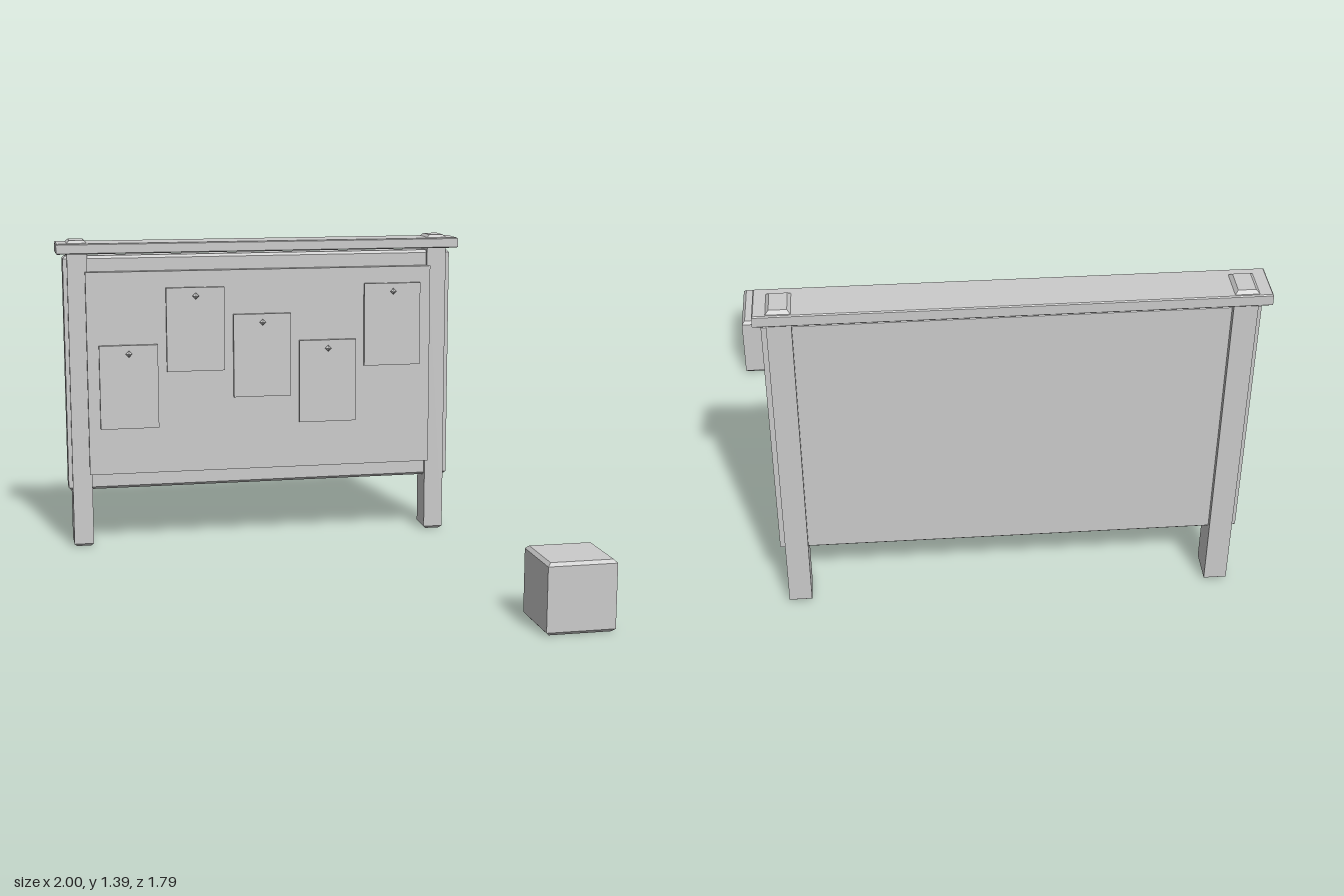
import * as THREE from 'three';

const material = new THREE.MeshStandardMaterial({ color: 0xcccccc, flatShading: true });

function add(group, name, geometry, x, y, z) {
  const mesh = new THREE.Mesh(geometry, material);
  mesh.name = name;
  mesh.position.set(x, y, z);
  group.add(mesh);
  return mesh;
}

// Box given by its limits
function block(group, name, [x0, x1], [y0, y1], [z0, z1]) {
  const geometry = new THREE.BoxGeometry(x1 - x0, y1 - y0, z1 - z0);
  return add(group, name, geometry, (x0 + x1) / 2, (y0 + y1) / 2, (z0 + z1) / 2);
}

// Upright block whose top and bottom rims are chamfered
function chamferedBlock(group, name, [x0, x1], [y0, y1], [z0, z1], chamfer) {
  const w = (x1 - x0) / 2 - chamfer;
  const d = (z1 - z0) / 2 - chamfer;
  const outline = new THREE.Shape([
    new THREE.Vector2(-w, -d), new THREE.Vector2(w, -d),
    new THREE.Vector2(w, d), new THREE.Vector2(-w, d),
  ]);
  const geometry = new THREE.ExtrudeGeometry(outline, {
    depth: y1 - y0 - 2 * chamfer,
    bevelEnabled: true, bevelSegments: 1, bevelSize: chamfer, bevelThickness: chamfer,
  });
  geometry.rotateX(-Math.PI / 2);
  return add(group, name, geometry, (x0 + x1) / 2, y0 + chamfer, (z0 + z1) / 2);
}

export function createModel() {
  const model = new THREE.Group();
  model.name = 'noticeBoardAndCrate';

  const board = new THREE.Group();
  board.name = 'noticeBoard';
  model.add(board);

  // Posts run through the cap and show above it
  const middle = -0.087;
  for (const [name, side] of [['rightPost', -1], ['leftPost', 1]]) {
    const x = middle + side * 0.821;
    chamferedBlock(board, name, [x - 0.044, x + 0.044], [0, 1.39], [-0.885, -0.758], 0.012);
  }

  // Cap, backing panel and raised pin board
  chamferedBlock(board, 'cap', [-1, 0.825], [1.332, 1.378], [-0.895, -0.722], 0.004);
  chamferedBlock(board, 'backingPanel', [-0.97, 0.798], [0.26, 1.32], [-0.862, -0.775], 0.012);
  block(board, 'pinBoard', [-0.875, 0.7], [0.335, 1.25], [-0.8, -0.738]);

  // Notices, each held by one small pin
  const bottoms = [0.545, 0.798, 0.672, 0.545, 0.798];
  bottoms.forEach((y, i) => {
    const x = -0.692 + i * 0.3025;
    const notice = new THREE.Group();
    notice.name = `notice${i + 1}`;
    block(notice, 'sheet', [x - 0.131, x + 0.131], [y, y + 0.378], [-0.745, -0.72]);
    add(notice, 'pin', new THREE.OctahedronGeometry(0.015), x, y + 0.341, -0.707);
    board.add(notice);
  });

  // Separate cube standing in front
  chamferedBlock(model, 'crate', [0.722, 1], [0, 0.286], [0.62, 0.895], 0.013);

  return model;
}
